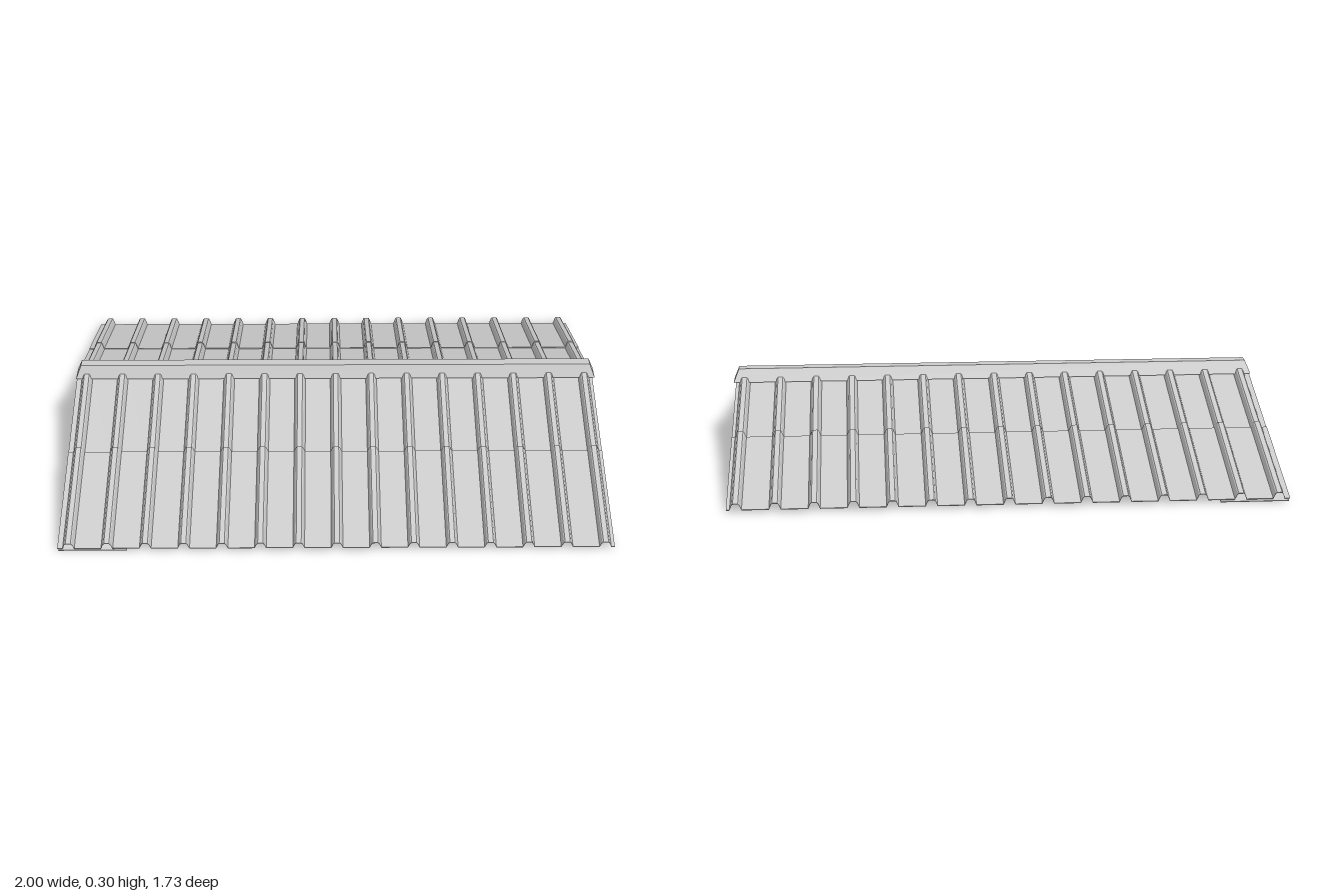
import * as THREE from 'three';

const PITCH = 0.274;    // roof slope in radians
const RIDGE_Y = 0.252;  // height where the slopes meet
const LENGTH = 0.888;   // ridge to eave along the slope
const LEFT = 0.992, RIGHT = -0.998;
const material = new THREE.MeshStandardMaterial({ color: 0xcccccc, flatShading: true, side: THREE.DoubleSide });

// Ribbed cross-section of the sheet: 15 evenly spaced hollow ribs
function sheetShape() {
  const thick = 0.003;
  const line = [[RIGHT, 0]];
  for (let i = 0; i < 15; i++) {
    const x = -0.958 + i * 0.1369;
    line.push([x - 0.021, 0], [x - 0.013, 0.021], [x - 0.009, 0.025],
      [x + 0.009, 0.025], [x + 0.013, 0.021], [x + 0.021, 0]);
  }
  line.push([LEFT, 0]);
  const under = line.map(([x, y]) => [x, y - thick]).reverse();
  return new THREE.Shape([...under, ...line].map(([x, y]) => new THREE.Vector2(x, y)));
}

// A ribbed sheet running from one distance below the ridge to another
function sheet(name, side, from, to, lift) {
  const geo = new THREE.ExtrudeGeometry(sheetShape(), { depth: to - from, bevelEnabled: false });
  geo.translate(0, lift, side > 0 ? from : -to);
  const mesh = new THREE.Mesh(geo, material);
  mesh.name = name;
  return mesh;
}

function slope(name, side) {
  const group = new THREE.Group();
  group.name = name;
  // Two overlapping sheets
  group.add(sheet('upperSheet', side, 0, 0.47, 0));
  group.add(sheet('lowerSheet', side, 0.418, LENGTH, 0.005));
  // Flat strip beneath the right-hand ribs
  const strip = new THREE.Mesh(new THREE.BoxGeometry(0.245, 0.003, LENGTH), material);
  strip.position.set(-0.8725, -0.0065, side * LENGTH / 2);
  strip.name = 'underStrip';
  group.add(strip);
  group.position.y = RIDGE_Y;
  group.rotation.x = side * PITCH;
  return group;
}

// Ridge cap: a long box whose top is drawn in on all four sides
function ridgeCap() {
  const geo = new THREE.BoxGeometry(2, 0.05, 0.08);
  const pos = geo.attributes.position;
  for (let i = 0; i < pos.count; i++) {
    if (pos.getY(i) > 0) {
      pos.setX(i, Math.sign(pos.getX(i)) * 0.98);
      pos.setZ(i, Math.sign(pos.getZ(i)) * 0.022);
    }
  }
  geo.computeVertexNormals();
  const cap = new THREE.Mesh(geo, material);
  cap.position.y = 0.275;
  cap.name = 'ridgeCap';
  return cap;
}

export function createModel() {
  const roof = new THREE.Group();
  roof.name = 'ribbedRoof';
  roof.add(slope('frontSlope', 1), slope('backSlope', -1), ridgeCap());
  return roof;
}
